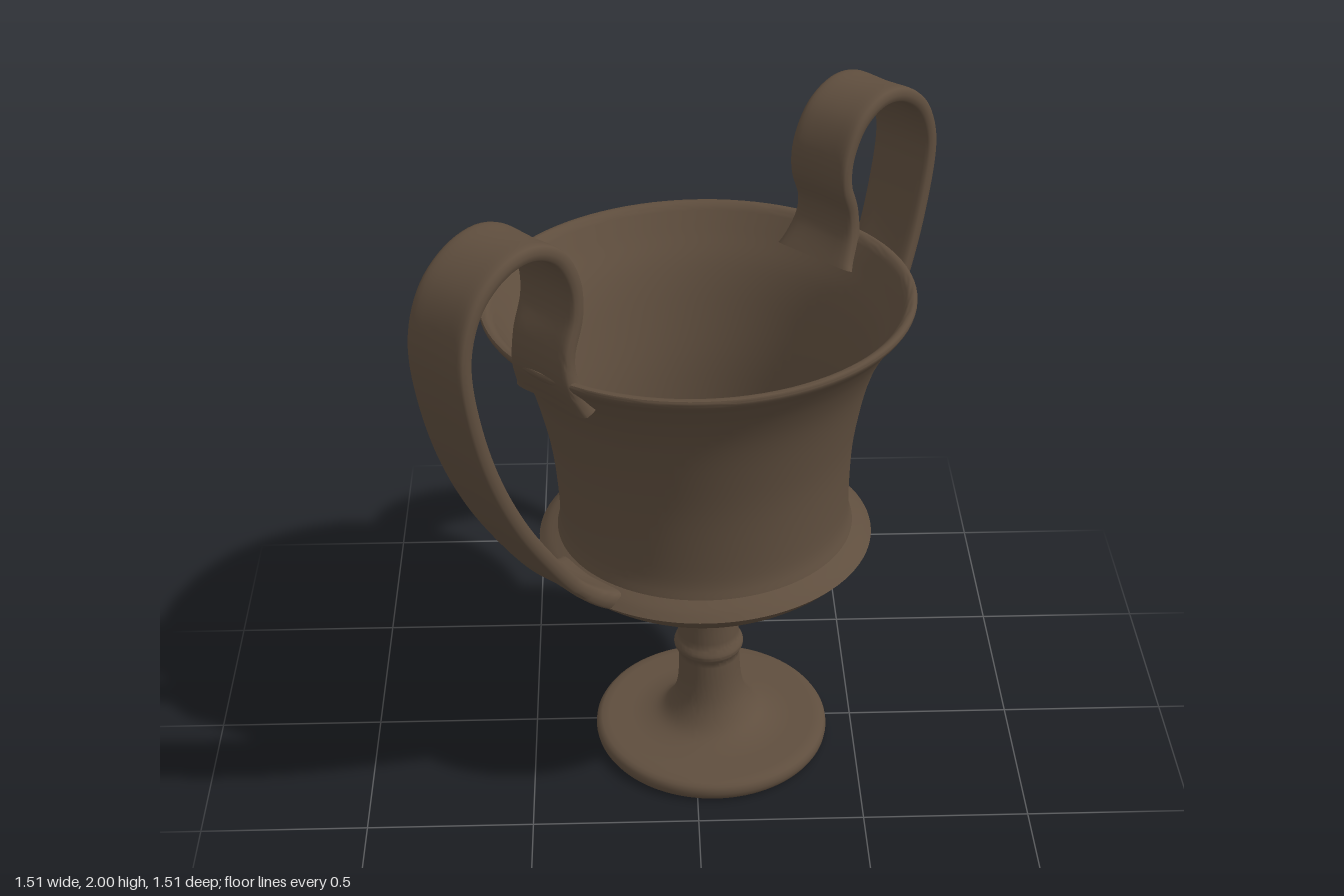
import * as THREE from 'three';
import { toCreasedNormals } from 'three/addons/utils/BufferGeometryUtils.js';

const clay = new THREE.MeshStandardMaterial({ color: 0x5f4e3e });
clay.name = 'brown clay';

// Smooth run of profile points; separate runs meet in a sharp edge
const run = (n, pts) => new THREE.SplineCurve(pts.map(p => new THREE.Vector2(...p))).getPoints(n);

function lathePart(name, runs) {
  const pts = runs.flat().filter((p, i, all) => i === 0 || p.distanceTo(all[i - 1]) > 1e-4);
  pts.forEach(p => { p.x = Math.max(0, p.x); });
  const geo = new THREE.LatheGeometry(pts, 96);
  const pos = geo.attributes.position;
  // The hand-made cup leans slightly: shift the axis and tilt the upper body
  for (let i = 0; i < pos.count; i++) {
    const x = pos.getX(i), y = pos.getY(i), z = pos.getZ(i);
    const tilt = THREE.MathUtils.smoothstep(y, 0.1, 0.6);
    pos.setXYZ(i, x + 0.055 - 0.028 * y, y + tilt * (0.02 * x + 0.025 * z), z + 0.052 - 0.037 * y);
  }
  const mesh = new THREE.Mesh(toCreasedNormals(geo, 0.7), clay);
  mesh.name = name;
  return mesh;
}

// Strap handle: a slightly dished band swept along a path of (distance from axis, height)
function handle(name, angle, topDrop) {
  const path = new THREE.SplineCurve([
    [0.545, 1.45], [0.585, 1.54], [0.585, 1.63], [0.553, 1.73], [0.558, 1.83], [0.61, 1.925],
    [0.70, 1.972], [0.80, 1.962], [0.89, 1.90], [0.94, 1.80], [0.948, 1.68], [0.915, 1.5],
    [0.86, 1.33], [0.78, 1.16], [0.68, 1.0], [0.58, 0.865], [0.50, 0.79], [0.42, 0.745],
  ].map(p => new THREE.Vector2(...p)));
  const steps = 90, sides = 24, verts = [], index = [];
  const power = (v, e) => Math.sign(v) * Math.abs(v) ** e;
  for (let k = 0; k <= steps; k++) {
    const t = k / steps, p = path.getPoint(t), tan = path.getTangent(t);
    const flare = Math.max(0, 1 - t / 0.12) ** 2 * 0.035 + Math.max(0, (t - 0.86) / 0.14) ** 2 * 0.05;
    const halfWidth = 0.107 + flare, halfThick = 0.025 + flare * 0.25;
    const drop = topDrop * THREE.MathUtils.smoothstep(p.y, 1.5, 1.95);
    for (let i = 0; i < sides; i++) {
      const a = i / sides * Math.PI * 2;
      const s = power(Math.sin(a), 0.5);
      const n = halfThick * power(Math.cos(a), 0.5) * (0.8 + 0.4 * s * s);
      verts.push(p.x - tan.y * n, p.y + tan.x * n - drop, s * halfWidth);
      if (k < steps) {
        const b = k * sides + i, c = k * sides + (i + 1) % sides;
        index.push(b, c, b + sides, c, c + sides, b + sides);
      }
    }
  }
  const geo = new THREE.BufferGeometry();
  geo.setAttribute('position', new THREE.Float32BufferAttribute(verts, 3));
  geo.setIndex(index);
  const mesh = new THREE.Mesh(toCreasedNormals(geo, 0.9), clay);
  mesh.name = name;
  mesh.rotation.y = angle;
  return mesh;
}

export function createModel() {
  const group = new THREE.Group();
  group.name = 'twoHandledCup';

  // Foot with hollow underside, and the ringed stem
  group.add(lathePart('footAndStem', [
    run(14, [[0, 0.17], [0.05, 0.14], [0.09, 0.07], [0.16, 0.035], [0.31, 0.004]]),
    run(10, [[0.31, 0.004], [0.345, 0], [0.361, 0.015], [0.362, 0.04], [0.345, 0.056], [0.3, 0.058]]),
    run(24, [[0.3, 0.058], [0.22, 0.062], [0.155, 0.085], [0.115, 0.14], [0.098, 0.21], [0.094, 0.31]]),
    run(8, [[0.094, 0.31], [0.106, 0.33], [0.106, 0.345], [0.095, 0.365]]),
    run(14, [[0.095, 0.365], [0.093, 0.45], [0.1, 0.51], [0.122, 0.54], [0.14, 0.56]]),
  ]));

  // Bowl: keeled underside, flared wall, thin lip and hollow inside
  group.add(lathePart('bowl', [
    run(14, [[0.09, 0.53], [0.13, 0.54], [0.26, 0.587], [0.38, 0.65], [0.46, 0.71], [0.5, 0.75]]),
    run(8, [[0.5, 0.75], [0.475, 0.772], [0.443, 0.79]]),
    run(30, [[0.443, 0.79], [0.432, 0.86], [0.442, 1.05], [0.468, 1.2], [0.5, 1.32], [0.54, 1.41], [0.585, 1.48], [0.615, 1.515]]),
    run(10, [[0.615, 1.515], [0.624, 1.53], [0.622, 1.543], [0.605, 1.543], [0.59, 1.53]]),
    run(30, [[0.59, 1.53], [0.555, 1.47], [0.505, 1.38], [0.465, 1.26], [0.425, 1.08], [0.407, 0.88], [0.408, 0.8]]),
    run(16, [[0.408, 0.8], [0.4, 0.74], [0.33, 0.675], [0.2, 0.63], [0, 0.61]]),
  ]));

  // Pair of handles on the diagonal
  group.add(handle('leftHandle', Math.PI / 4, 0.036));
  group.add(handle('rightHandle', Math.PI * 5 / 4, -0.003));
  return group;
}
